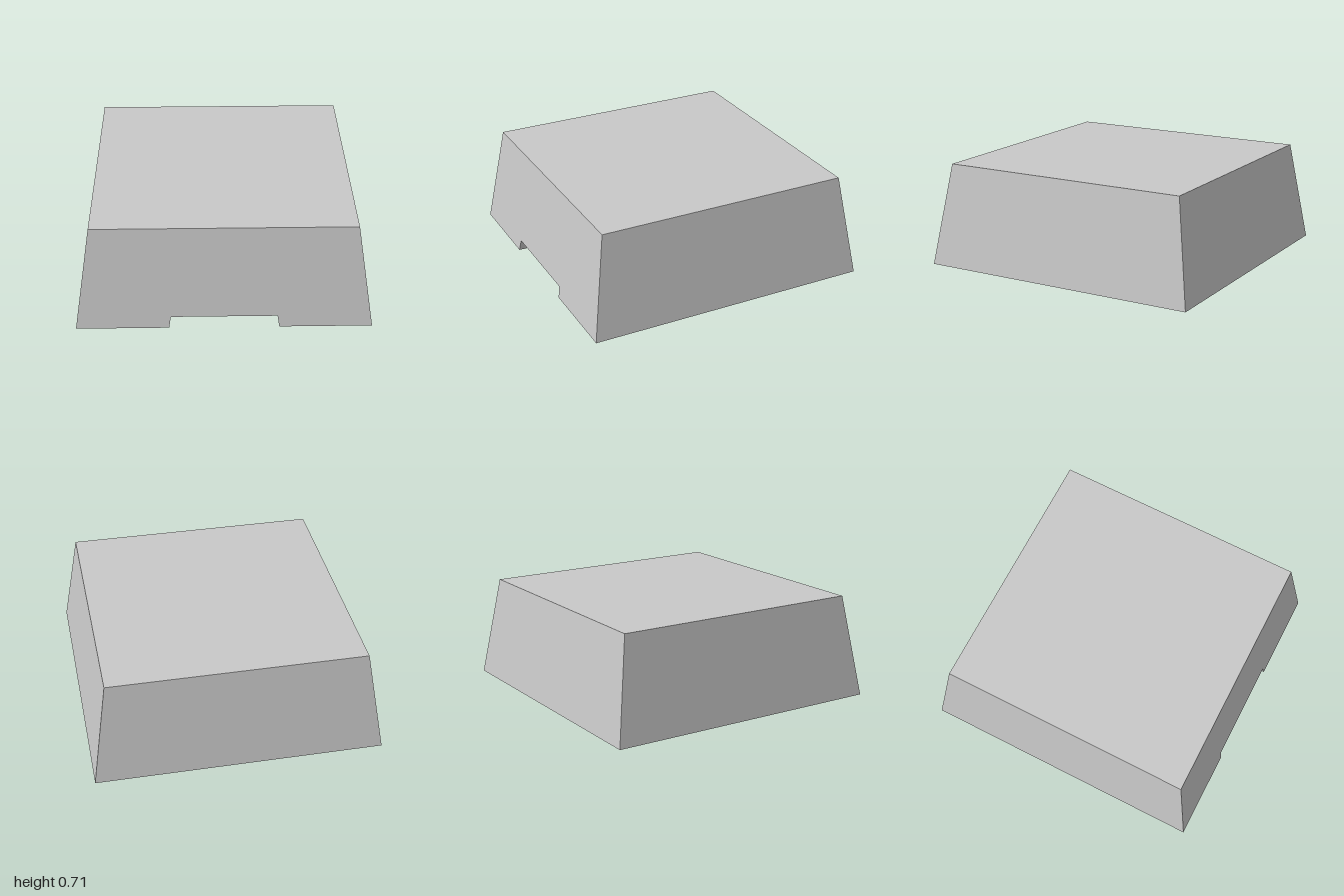
import * as THREE from 'three';

const H = 0.715;              // body height
const DRAFT = 0.153;          // inward lean of every wall per unit of height
const RECESS = 0.38;          // depth of the underside pocket
const NOTCH = 0.08;           // height of the front notch
const SX = 0.995, SZ = 1;     // half sizes of the base
const P = 0.555;              // half size of the pocket
const N = 0.37;               // half width of the notch
const at = (half, y) => half - DRAFT * y;

// Flat polygon (may be concave), turned to face the given axis direction.
function polygon(name, points, facing, material) {
  const pts = points.map(p => new THREE.Vector3(...p));
  const dir = new THREE.Vector3(...facing);
  const flat = pts.map(p => dir.x ? new THREE.Vector2(p.z, p.y)
    : dir.y ? new THREE.Vector2(p.x, p.z) : new THREE.Vector2(p.x, p.y));
  const pos = [];
  for (const [a, b, c] of THREE.ShapeUtils.triangulateShape(flat, [])) {
    const n = pts[b].clone().sub(pts[a]).cross(pts[c].clone().sub(pts[a]));
    const order = n.dot(dir) > 0 ? [a, b, c] : [a, c, b];
    order.forEach(i => pos.push(...pts[i].toArray()));
  }
  const geo = new THREE.BufferGeometry();
  geo.setAttribute('position', new THREE.Float32BufferAttribute(pos, 3));
  geo.computeVertexNormals();
  const mesh = new THREE.Mesh(geo, material);
  mesh.name = name;
  return mesh;
}

// Horizontal rectangle at height y.
const level = (x, z, y) => [[-x, y, -z], [x, y, -z], [x, y, z], [-x, y, z]];

// Front-facing wall with the notch cut from its lower edge.
const notchedWall = (x, z, h) => [
  [-x, 0, z], [-N, 0, z], [-at(N, NOTCH), NOTCH, at(z, NOTCH)],
  [at(N, NOTCH), NOTCH, at(z, NOTCH)], [N, 0, z], [x, 0, z],
  [at(x, h), h, at(z, h)], [-at(x, h), h, at(z, h)],
];

export function createModel() {
  const model = new THREE.Group();
  model.name = 'taperedBlock';
  const grey = new THREE.MeshStandardMaterial({ color: 0xc8c8c8 });
  grey.name = 'grey';
  const add = (name, points, facing) => model.add(polygon(name, points, facing, grey));

  // Outer shell (out = 1) and the pocket walls, which face inward (out = -1)
  for (const [part, x, z, h, out] of [['outer', SX, SZ, H, 1], ['pocket', P, P, RECESS, -1]]) {
    add(part + 'Front', notchedWall(x, z, h), [0, 0, out]);
    add(part + 'Back', [[-x, 0, -z], [x, 0, -z], [at(x, h), h, -at(z, h)], [-at(x, h), h, -at(z, h)]], [0, 0, -out]);
    for (const s of [-1, 1]) {
      add(part + (s > 0 ? 'Left' : 'Right'),
        [[s * x, 0, -z], [s * x, 0, z], [s * at(x, h), h, at(z, h)], [s * at(x, h), h, -at(z, h)]],
        [s * out, 0, 0]);
    }
    add(part + 'Top', level(at(x, h), at(z, h), h), [0, out, 0]);
  }

  // U-shaped base rim, open at the notch
  add('baseRim', [
    [N, 0, SZ], [SX, 0, SZ], [SX, 0, -SZ], [-SX, 0, -SZ], [-SX, 0, SZ], [-N, 0, SZ],
    [-N, 0, P], [-P, 0, P], [-P, 0, -P], [P, 0, -P], [P, 0, P], [N, 0, P],
  ], [0, -1, 0]);

  // Notch passage from the front into the pocket
  const nx = at(N, NOTCH), z0 = at(P, NOTCH), z1 = at(SZ, NOTCH);
  add('notchCeiling', [[-nx, NOTCH, z0], [nx, NOTCH, z0], [nx, NOTCH, z1], [-nx, NOTCH, z1]], [0, -1, 0]);
  for (const s of [-1, 1]) {
    add(s > 0 ? 'notchLeft' : 'notchRight',
      [[s * N, 0, P], [s * N, 0, SZ], [s * nx, NOTCH, z1], [s * nx, NOTCH, z0]], [-s, 0, 0]);
  }
  return model;
}
